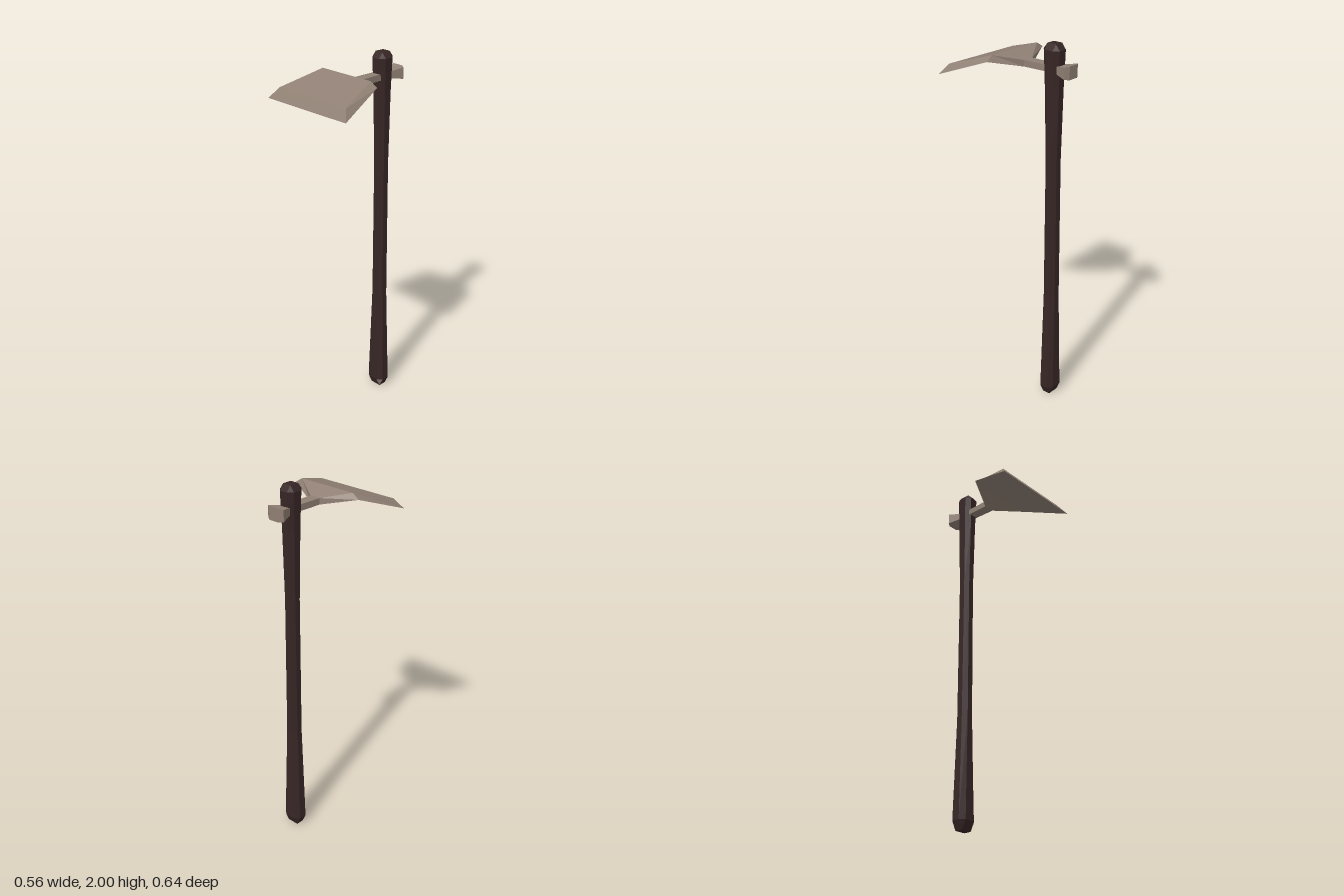
import * as THREE from 'three';

// Skins rings of equal length; each ring runs counterclockwise seen from the end.
// pick(segment, edge) gives the material index of a side face.
function loft(rings, pick = () => 0) {
  const lists = [[], []];
  const tri = (list, a, b, c) => {
    const area = new THREE.Triangle(a, b, c).getArea();
    if (area > 1e-8) for (const p of [a, b, c]) list.push(p.x, p.y, p.z);
  };
  const n = rings[0].length;
  for (let s = 0; s < rings.length - 1; s++) {
    const A = rings[s], B = rings[s + 1];
    for (let i = 0; i < n; i++) {
      const j = (i + 1) % n, list = lists[pick(s, i)];
      tri(list, A[i], A[j], B[j]);
      tri(list, A[i], B[j], B[i]);
    }
  }
  const first = rings[0], last = rings[rings.length - 1];
  for (let i = 1; i < n - 1; i++) {
    tri(lists[0], first[0], first[i + 1], first[i]);
    tri(lists[0], last[0], last[i], last[i + 1]);
  }
  const g = new THREE.BufferGeometry();
  g.setAttribute('position', new THREE.Float32BufferAttribute([...lists[0], ...lists[1]], 3));
  g.addGroup(0, lists[0].length / 3, 0);
  if (lists[1].length) g.addGroup(lists[0].length / 3, lists[1].length / 3, 1);
  g.computeVertexNormals();
  return g;
}

const V = (x, y, z) => new THREE.Vector3(x, y, z);

export function createModel() {
  const wood = new THREE.MeshStandardMaterial({ color: 0x382626, flatShading: true });
  wood.name = 'dark wood';
  const metal = new THREE.MeshStandardMaterial({ color: 0x908074, flatShading: true });
  metal.name = 'dull metal';

  const group = new THREE.Group();
  group.name = 'hoe';

  // Eight-sided handle: height, half width, half depth, half flat in x, half flat in z
  const handleRows = [
    [0, 0.033, 0.022, 0.033, 0.022],
    [0.05, 0.057, 0.045, 0.03, 0.022],
    [0.62, 0.039, 0.038, 0.017, 0.016],
    [1.4, 0.036, 0.036, 0.016, 0.016],
    [1.78, 0.04, 0.045, 0.018, 0.02],
    [1.97, 0.046, 0.05, 0.023, 0.024],
    [2, 0.024, 0.026, 0.024, 0.026],
  ];
  const handleRings = handleRows.map(([y, a, b, fx, fz]) =>
    [[a, fz], [a, -fz], [fx, -b], [-fx, -b], [-a, -fz], [-a, fz], [-fx, b], [fx, b]]
      .map(([x, z]) => V(x, y, z)));
  // One worn corner facet at the foot shows the paler colour
  const handle = new THREE.Mesh(
    loft(handleRings, (s, i) => (s === 0 && i === 7 ? 1 : 0)), [wood, metal]);
  handle.name = 'handle';
  handle.position.z = -0.205;
  group.add(handle);

  // Head sections from back to front: top [half width, y, z], bottom [half width, y, z]
  const section = ([tx, ty, tz], [bx, by, bz]) =>
    [V(tx, ty, tz), V(-tx, ty, tz), V(-bx, by, bz), V(bx, by, bz)];
  const back = section([0.029, 1.909, -0.322], [0.029, 1.842, -0.322]);
  const flare = section([0.052, 1.905, -0.307], [0.052, 1.845, -0.307]);
  const waist = section([0.026, 1.892, -0.23], [0.026, 1.858, -0.23]);
  const armEnd = section([0.031, 1.891, -0.036], [0.031, 1.858, -0.036]);
  const shoulder = section([0.17, 1.928, 0.05], [0.21, 1.902, 0.047]);
  const edge = section([0.239, 1.859, 0.28], [0.278, 1.805, 0.32]);

  const parts = [
    ['poll', [back, flare, waist]],
    ['arm', [waist, armEnd]],
    ['blade', [armEnd, shoulder, edge]],
  ];
  for (const [name, rings] of parts) {
    const mesh = new THREE.Mesh(loft(rings), metal);
    mesh.name = name;
    group.add(mesh);
  }
  return group;
}
